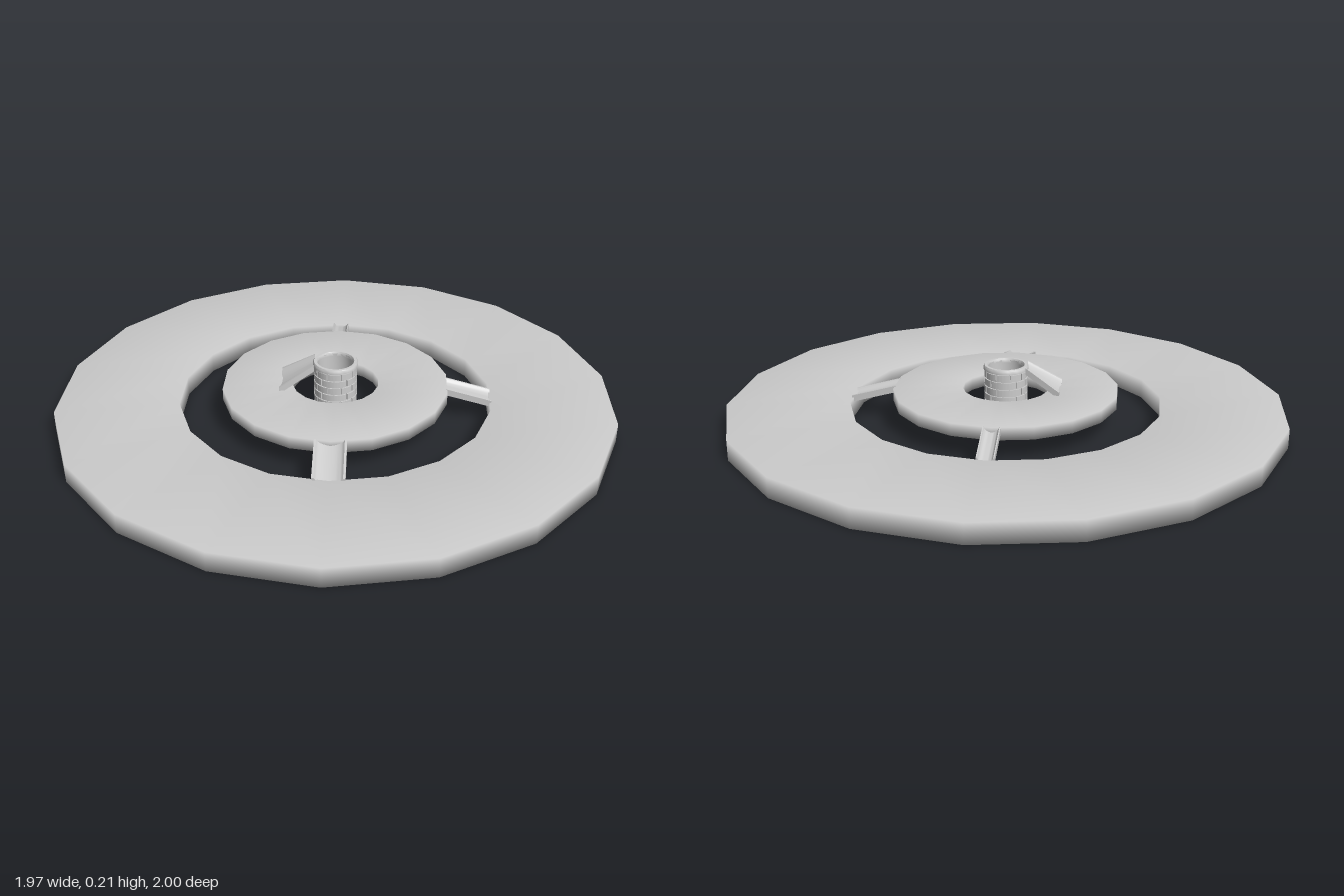
import * as THREE from 'three';
import { toCreasedNormals } from 'three/addons/utils/BufferGeometryUtils.js';

const material = new THREE.MeshStandardMaterial({ color: 0xcccccc, side: THREE.DoubleSide });

function addMesh(parent, name, geometry) {
  const mesh = new THREE.Mesh(geometry, material);
  mesh.name = name;
  parent.add(mesh);
  return mesh;
}

// Flat 18-sided ring, closed all round, with soft normals
function ring(inner, outer, bottom, top) {
  const mid = (inner + outer) / 2;
  const profile = [
    [mid, bottom], [outer, bottom], [outer, top], [inner, top], [inner, bottom], [mid, bottom],
  ].map(([r, y]) => new THREE.Vector2(r, y));
  return new THREE.LatheGeometry(profile, 18);
}

// Sloping chute: a curved trough with side rails, running outward along +z
function chute(r0, y0, w0, r1, y1, w1) {
  const s = new THREE.Shape();
  s.moveTo(-1, -0.024);
  s.lineTo(1, -0.024);
  s.lineTo(1, 0);
  s.lineTo(0.86, 0);
  s.quadraticCurveTo(0.7, -0.016, 0, -0.016);
  s.quadraticCurveTo(-0.7, -0.016, -0.86, 0);
  s.lineTo(-1, 0);
  s.closePath();
  const g = new THREE.ExtrudeGeometry(s, { depth: 1, bevelEnabled: false, curveSegments: 6 });
  const p = g.attributes.position;
  const lerp = THREE.MathUtils.lerp;
  for (let i = 0; i < p.count; i++) {
    const t = p.getZ(i);
    p.setXYZ(i, p.getX(i) * lerp(w0, w1, t), p.getY(i) + lerp(y0, y1, t), lerp(r0, r1, t));
  }
  return toCreasedNormals(g, 0.6);
}

// One curved brick lying on a circle
function brick(inner, outer, angle, height) {
  const s = new THREE.Shape();
  s.absarc(0, 0, outer, 0, angle, false);
  s.absarc(0, 0, inner, angle, 0, true);
  s.closePath();
  const g = new THREE.ExtrudeGeometry(s, { depth: height, bevelEnabled: false, curveSegments: 4 });
  g.rotateX(-Math.PI / 2);
  return toCreasedNormals(g, 0.6);
}

export function createModel() {
  const model = new THREE.Group();
  model.name = 'tieredRings';

  addMesh(model, 'outerRing', ring(0.56, 1, 0, 0.07));
  addMesh(model, 'innerRing', ring(0.155, 0.405, 0.075, 0.12));

  // Chutes from the inner ring down to the outer ring
  const chutes = [
    ['frontChute', 0, 0.055],
    ['leftChute', Math.PI / 2, 0.045],
    ['backChute', Math.PI, 0.03],
  ];
  for (const [name, turn, width] of chutes) {
    addMesh(model, name, chute(0.395, 0.122, width, 0.558, 0.078, width)).rotation.y = turn;
  }
  // Flared chute from the well down to the inner ring
  addMesh(model, 'wellChute', chute(0.075, 0.207, 0.045, 0.197, 0.132, 0.077)).rotation.y = -Math.PI / 2;

  // Well: hollow core, floor inside, brick courses and a rim
  const well = new THREE.Group();
  well.name = 'well';
  model.add(well);
  const core = [[0, 0], [0.072, 0], [0.072, 0.2], [0.064, 0.2], [0.064, 0.13], [0, 0.13]];
  addMesh(well, 'wellCore', toCreasedNormals(
    new THREE.LatheGeometry(core.map(([r, y]) => new THREE.Vector2(r, y)), 32), 0.6));

  const rows = 7, perRow = 10, pitch = 0.0272;
  const step = (Math.PI * 2) / perRow;
  const brickGeometry = brick(0.07, 0.077, step * 0.91, pitch - 0.004);
  for (let row = 0; row < rows; row++) {
    for (let i = 0; i < perRow; i++) {
      const b = addMesh(well, 'brick', brickGeometry);
      b.position.y = row * pitch;
      b.rotation.y = (i + (row % 2) / 2) * step;
    }
  }
  const rim = [[0.064, 0.19], [0.08, 0.19], [0.08, 0.202], [0.077, 0.206], [0.067, 0.206], [0.064, 0.202], [0.064, 0.19]];
  addMesh(well, 'wellRim', toCreasedNormals(
    new THREE.LatheGeometry(rim.map(([r, y]) => new THREE.Vector2(r, y)), 32), 0.9));

  return model;
}
